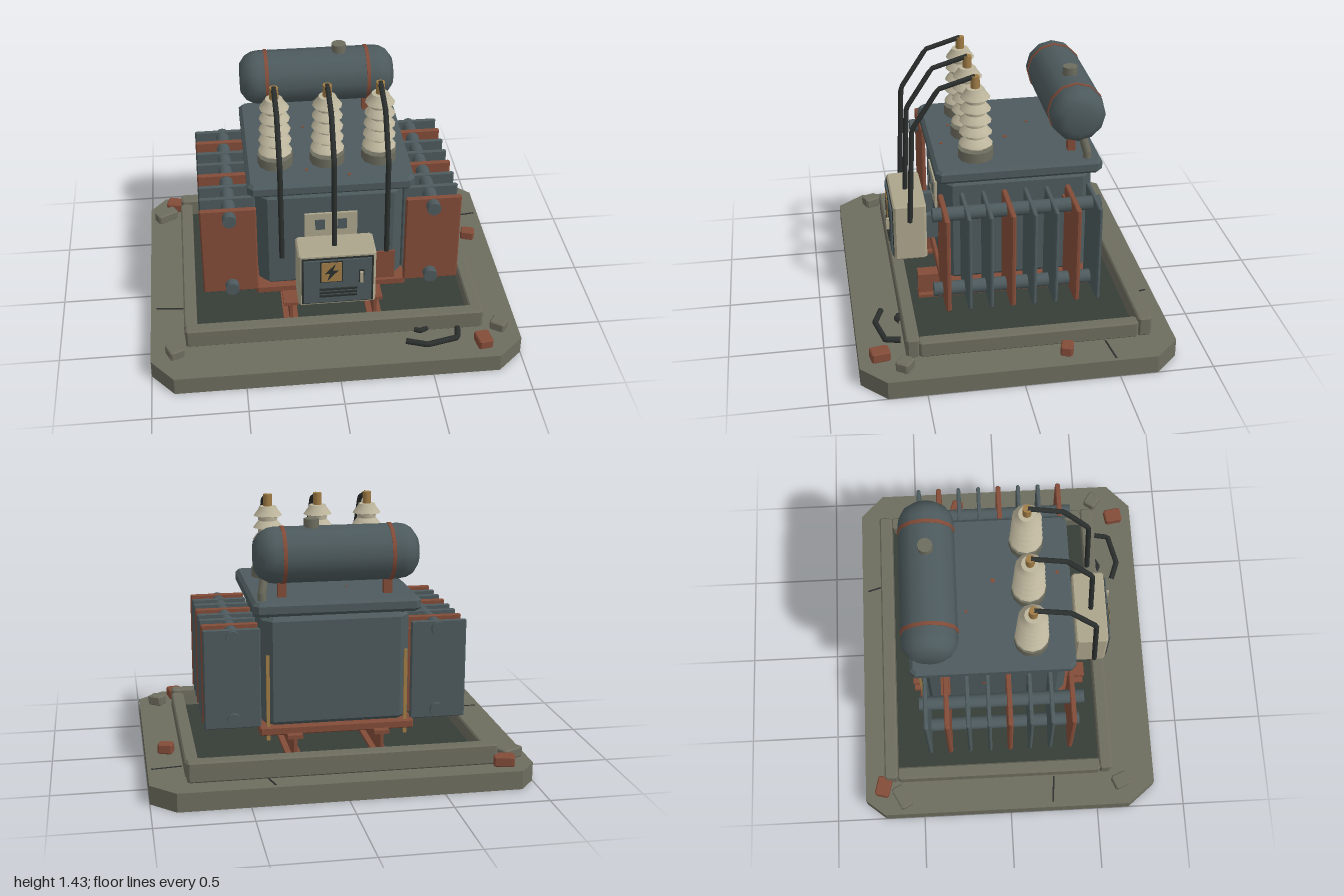
import * as THREE from 'three';
import { toCreasedNormals } from 'three/addons/utils/BufferGeometryUtils.js';

const paint = (name, color, flat = false) => {
  const m = new THREE.MeshStandardMaterial({ color, flatShading: flat });
  m.name = name;
  return m;
};

// Box with every edge cut by c, centred on the origin
function chamferBox(w, h, d, c, corner = c) {
  const a = w / 2 - c, b = d / 2 - c, k = corner;
  const s = new THREE.Shape([
    [a, -b + k], [a, b - k], [a - k, b], [-a + k, b],
    [-a, b - k], [-a, -b + k], [-a + k, -b], [a - k, -b],
  ].map(([x, y]) => new THREE.Vector2(x, y)));
  const g = new THREE.ExtrudeGeometry(s, {
    depth: h - 2 * c, bevelEnabled: true, bevelSize: c, bevelThickness: c, bevelSegments: 1,
  });
  return g.translate(0, 0, c - h / 2).rotateX(-Math.PI / 2);
}

// Tube with straight runs between the given points
function bentTube(points, r, sides = 8) {
  const path = new THREE.CurvePath();
  const v = points.map((p) => new THREE.Vector3(...p));
  for (let i = 1; i < v.length; i++) path.add(new THREE.LineCurve3(v[i - 1], v[i]));
  return new THREE.TubeGeometry(path, 36, r, sides);
}

export function createModel() {
  const model = new THREE.Group();
  model.name = 'transformer';
  const slate = paint('slate paint', 0x4d5a5d);
  const rust = paint('rust', 0x834c39);
  const concrete = paint('concrete', 0x6e6d5f);
  const pit = paint('oily floor', 0x363d37);
  const cream = paint('cream enamel', 0xaca58c);
  const porcelain = paint('porcelain', 0xbdb59c);
  const brass = paint('brass', 0xa07c46);
  const black = paint('black rubber', 0x2a2f2d);

  const add = (name, geo, mat, x = 0, y = 0, z = 0, parent = model) => {
    const m = new THREE.Mesh(geo, mat);
    m.name = name;
    m.position.set(x, y, z);
    parent.add(m);
    return m;
  };
  // Box given by its limits
  const span = (name, mat, x0, x1, y0, y1, z0, z1) =>
    add(name, new THREE.BoxGeometry(x1 - x0, y1 - y0, z1 - z0), mat,
      (x0 + x1) / 2, (y0 + y1) / 2, (z0 + z1) / 2);

  // Concrete slab with uneven cut corners
  const outline = new THREE.Shape([
    [-0.88, -0.83], [0.86, -0.83], [1, -0.7], [1, 0.7],
    [0.87, 0.83], [-0.91, 0.83], [-1, 0.72], [-1, -0.68],
  ].map(([x, y]) => new THREE.Vector2(x, y)));
  add('slab', new THREE.ExtrudeGeometry(outline, { depth: 0.1, bevelEnabled: false })
    .rotateX(-Math.PI / 2), concrete);

  // Curb around the oil pit
  span('pitFloor', pit, -0.76, 0.76, 0.09, 0.112, -0.66, 0.54);
  add('frontCurb', chamferBox(1.62, 0.11, 0.07, 0.008), concrete, 0, 0.153, 0.55);
  add('backCurb', chamferBox(1.62, 0.11, 0.075, 0.008), concrete, 0, 0.155, -0.675);
  for (const s of [-1, 1])
    add('sideCurb', chamferBox(0.07, 0.09, 1.16, 0.008), concrete, s * 0.78, 0.145, -0.06);

  // Rubble: x, z, width, depth, turn, material
  for (const [x, z, w, d, turn, mat] of [
    [-0.84, -0.725, 0.11, 0.08, -0.25, rust], [-0.905, -0.62, 0.13, 0.07, 0.5, concrete],
    [0.89, -0.24, 0.08, 0.065, -0.3, rust], [0.785, 0.72, 0.08, 0.1, 0.15, rust],
    [0.895, 0.6, 0.085, 0.075, -0.6, concrete], [-0.87, 0.635, 0.08, 0.09, 0.4, concrete],
  ]) add('rubble', chamferBox(w, 0.055, d, 0.006), mat, x, 0.127, z).rotation.y = turn;

  // Cracks in the slab: x, z, length, turn
  for (const [x, z, len, turn] of [[0.385, -0.755, 0.09, -1.3], [0.9, -0.47, 0.16, 0.12], [-0.895, 0.248, 0.15, -0.1]])
    add('crack', new THREE.BoxGeometry(len, 0.004, 0.009), black, x, 0.101, z).rotation.y = turn;

  // Scrap cable lying on the slab
  add('scrapCable', bentTube([[0.37, 0.12, 0.68], [0.48, 0.12, 0.72], [0.65, 0.12, 0.68], [0.665, 0.12, 0.6]], 0.016), black);
  add('scrapCableEnd', bentTube([[0.43, 0.12, 0.59], [0.46, 0.12, 0.605], [0.5, 0.12, 0.585]], 0.014), black);

  // I-beam skids and base frame
  for (const s of [-1, 1]) {
    const x = s * 0.23;
    span('skidTop', rust, x - 0.04, x + 0.04, 0.238, 0.258, -0.53, 0.46);
    span('skidWeb', rust, x - 0.009, x + 0.009, 0.125, 0.24, -0.53, 0.46);
    span('skidFoot', rust, x - 0.04, x + 0.04, 0.11, 0.128, -0.53, 0.46);
  }
  add('baseFrame', chamferBox(0.82, 0.045, 0.84, 0.006), rust, 0, 0.272, -0.07);

  // Tank and lid
  add('tank', chamferBox(0.78, 0.6, 0.8, 0.03, 0.035), slate, 0, 0.585, -0.068);
  add('lid', chamferBox(0.88, 0.075, 0.88, 0.018), slate, 0, 0.928, -0.07);
  span('lidGasket', black, -0.36, 0.36, 0.87, 0.9, -0.43, 0.3);
  for (const s of [-1, 1])
    span('earthStrap', brass, s * 0.365 - 0.009, s * 0.365 + 0.009, 0.22, 0.68, -0.476, -0.464);
  span('rustPatch', rust, 0.2, 0.35, 0.295, 0.475, 0.325, 0.34);

  // Rust spots on the lid and tank sides
  for (const [x, z, r] of [[0.07, -0.05, 0.013], [-0.12, 0.235, 0.009], [0.1, 0.3, 0.01], [-0.1, -0.2, 0.008]])
    add('rustSpot', new THREE.CylinderGeometry(r, r, 0.004, 7), rust, x, 0.967, z);
  for (const s of [-1, 1])
    for (const [y, z] of [[0.6, -0.12], [0.73, -0.33], [0.38, -0.33]])
      add('rustSpot', new THREE.CylinderGeometry(0.015, 0.015, 0.004, 7).rotateZ(Math.PI / 2), rust, s * 0.391, y, z);

  // Radiator banks on both sides
  for (const s of [-1, 1]) {
    for (let i = 0; i < 8; i++) {
      const rusty = i === 1 || i === 4 || i === 7;
      add('radiatorFin', chamferBox(0.3, 0.535, rusty ? 0.028 : 0.022, 0.005), rusty ? rust : slate,
        s * 0.548, 0.555, -0.44 + i * 0.1123);
    }
    for (const y of [0.335, 0.78])
      add('radiatorHeader', new THREE.CylinderGeometry(0.037, 0.037, 0.88, 14).rotateX(Math.PI / 2), slate, s * 0.542, y, -0.033);
    add('radiatorBracket', new THREE.BoxGeometry(0.14, 0.04, 0.05), rust, s * 0.46, 0.74, -0.33);
  }

  // Conservator drum with straps, legs, cap and feed pipe
  const drum = new THREE.Group();
  drum.name = 'conservator';
  drum.position.set(-0.005, 1.19, -0.39);
  model.add(drum);
  const half = [[0.148, 0.325], [0.142, 0.36], [0.122, 0.395], [0.08, 0.425], [0, 0.426]];
  const profile = [...half.map(([r, y]) => [r, -y]).reverse(), ...half]
    .map(([r, y]) => new THREE.Vector2(r, y));
  add('drum', new THREE.LatheGeometry(profile, 12).rotateZ(-Math.PI / 2), slate, 0, 0, 0, drum);
  for (const x of [-0.28, 0.28]) {
    add('drumStrap', new THREE.CylinderGeometry(0.152, 0.152, 0.02, 12).rotateZ(-Math.PI / 2), rust, x, 0, 0, drum);
    add('drumLeg', new THREE.BoxGeometry(0.045, 0.15, 0.04), rust, x, -0.155, 0.02, drum);
  }
  add('fillerCap', new THREE.CylinderGeometry(0.04, 0.04, 0.07, 10), concrete, 0.127, 0.15, 0, drum);
  add('feedPipe', bentTube([[0.385, 0.95, -0.435], [0.385, 1.0, -0.432], [0.37, 1.08, -0.41]], 0.023), concrete);

  // Bushings with their cables
  const sheds = [[0.055, 0]];
  for (let i = 0; i < 5; i++) {
    const y = i * 0.065;
    sheds.push([0.055, y + 0.018], [0.091 - i * 0.003, y + 0.024], [0.082 - i * 0.003, y + 0.036], [0.055 - i * 0.001, y + 0.062]);
  }
  sheds.push([0.046, 0.335], [0, 0.337]);
  const shedGeo = toCreasedNormals(
    new THREE.LatheGeometry(sheds.map(([r, y]) => new THREE.Vector2(r, y)), 12), 0.7);
  for (const x of [-0.277, 0, 0.277]) {
    add('bushingBase', new THREE.CylinderGeometry(0.094, 0.094, 0.06, 12), concrete, x, 0.99, 0.14);
    add('bushing', shedGeo, porcelain, x, 1.02, 0.14);
    add('terminal', new THREE.CylinderGeometry(0.024, 0.024, 0.07, 8), brass, x, 1.386, 0.14);
    add('cable', bentTube([[x, 1.418, 0.14], [x, 1.36, 0.33], [x, 1.14, 0.472], [x, 0.6, 0.496]], 0.014), black);
  }

  // Gauge plate on the tank front
  span('gaugePlate', cream, -0.143, 0.14, 0.6, 0.755, 0.325, 0.345);
  for (const x of [-0.06, 0.058]) span('gauge', slate, x - 0.026, x + 0.026, 0.655, 0.718, 0.344, 0.35);

  // Control cabinet
  add('cabinet', chamferBox(0.412, 0.328, 0.18, 0.008), cream, 0.006, 0.494, 0.49);
  for (const x of [-0.12, 0.13]) span('cabinetBracket', slate, x - 0.02, x + 0.02, 0.42, 0.56, 0.32, 0.405);
  span('doorSeal', black, -0.183, 0.197, 0.345, 0.64, 0.575, 0.584);
  span('door', slate, -0.172, 0.186, 0.355, 0.63, 0.58, 0.592);
  span('signFrame', black, -0.086, 0.034, 0.49, 0.625, 0.59, 0.595);
  span('warningSign', brass, -0.08, 0.028, 0.496, 0.619, 0.592, 0.598);
  const bolt = new THREE.Shape([
    [0.02, 0.052], [-0.036, -0.008], [-0.008, -0.006], [-0.022, -0.052], [0.036, 0.012], [0.006, 0.01],
  ].map(([x, y]) => new THREE.Vector2(x, y)));
  add('warningBolt', new THREE.ExtrudeGeometry(bolt, { depth: 0.004, bevelEnabled: false }), black, -0.026, 0.557, 0.597);
  for (const y of [0.4, 0.422, 0.444]) span('vent', black, -0.09, 0.11, y - 0.005, y + 0.005, 0.59, 0.6);
  span('handlePlate', black, 0.118, 0.146, 0.48, 0.56, 0.59, 0.597);
  span('handle', cream, 0.124, 0.14, 0.488, 0.552, 0.595, 0.614);

  return model;
}
